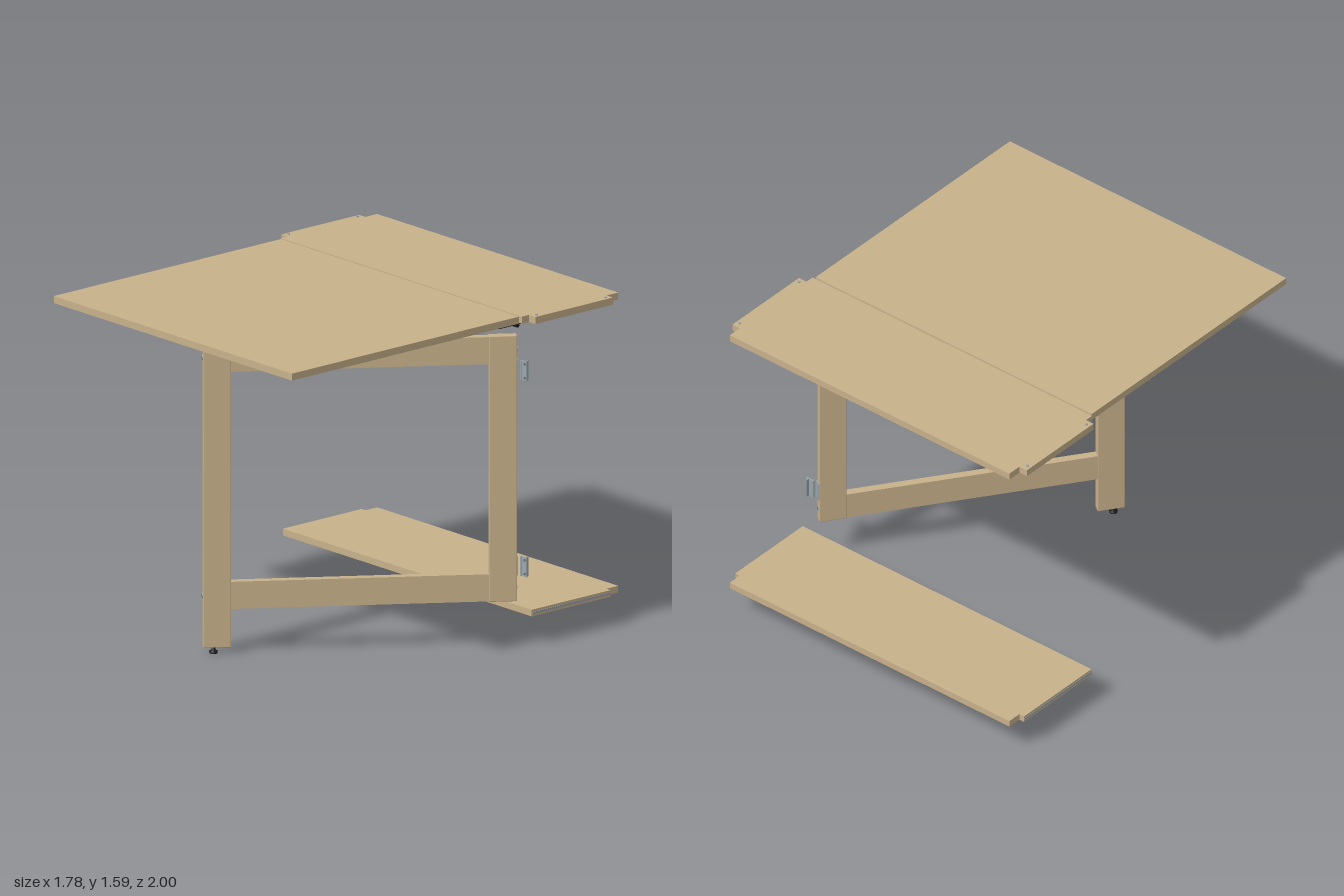
import * as THREE from 'three';
import { RoundedBoxGeometry } from 'three/addons/geometries/RoundedBoxGeometry.js';

const material = (name, color) => {
  const m = new THREE.MeshStandardMaterial({ color });
  m.name = name;
  return m;
};

export function createModel() {
  const wood = material('wood', 0xc8b18b);
  const black = material('black metal', 0x1c1c1c);
  const steel = material('steel', 0x9aa6ad);
  const dark = material('dark steel', 0x5f676c);

  const model = new THREE.Group();
  model.name = 'gateLegTable';

  const add = (parent, name, geometry, mat, x = 0, y = 0, z = 0) => {
    const mesh = new THREE.Mesh(geometry, mat);
    mesh.name = name;
    mesh.position.set(x, y, z);
    parent.add(mesh);
    return mesh;
  };
  // Box given by its limits on each axis
  const box = (parent, name, mat, [x0, x1], [y0, y1], [z0, z1], r = 0) => {
    const size = [x1 - x0, y1 - y0, z1 - z0];
    const geometry = r ? new RoundedBoxGeometry(...size, 2, r) : new THREE.BoxGeometry(...size);
    return add(parent, name, geometry, mat, (x0 + x1) / 2, (y0 + y1) / 2, (z0 + z1) / 2);
  };
  // Flat board from the right half of its outline, given as [x, z] from front to back
  const board = (name, half, y0, y1) => {
    const mirrored = half.map(([x, z]) => [-x, z]).reverse();
    const shape = new THREE.Shape([...half, ...mirrored].map(([x, z]) => new THREE.Vector2(x, -z)));
    const geometry = new THREE.ExtrudeGeometry(shape, { depth: y1 - y0, bevelEnabled: false });
    geometry.rotateX(-Math.PI / 2);
    return add(model, name, geometry, wood, 0, y0, 0);
  };

  // Table top: drop leaf in front, fixed part with side tongues behind
  box(model, 'dropLeaf', wood, [-0.835, 0.835], [1.552, 1.586], [-0.397, 1]);
  board('fixedTop', [
    [0.845, -0.407], [0.845, -0.45], [0.89, -0.45],
    [0.89, -0.928], [0.845, -0.928], [0.845, -1],
  ], 1.552, 1.586);

  // Lower shelf, with notched rear corners and a metal strip along each end
  board('shelf', [[0.873, -0.443], [0.873, -0.928], [0.845, -0.928], [0.845, -1]], 0.138, 0.17);

  for (const s of [-1, 1]) {
    const side = s < 0 ? 'right' : 'left';
    box(model, side + 'ShelfStrip', steel,
      [s * 0.873 - 0.002, s * 0.873 + 0.002], [0.148, 0.159], [-0.925, -0.446]);

    // Fasteners on the tongues
    for (const z of [-0.9, -0.475]) {
      add(model, side + 'TopScrew', new THREE.CylinderGeometry(0.007, 0.007, 0.008, 12), steel, s * 0.87, 1.587, z);
    }

    // Leaf hinge: two plates, a row of knuckles and screw heads
    const hinge = new THREE.Group();
    hinge.name = side + 'LeafHinge';
    hinge.position.set(s * 0.77, 0, -0.4);
    model.add(hinge);
    box(hinge, 'frontPlate', black, [-0.055, 0.055], [1.545, 1.552], [0.006, 0.115]);
    box(hinge, 'backPlate', black, [-0.055, 0.055], [1.545, 1.552], [-0.115, -0.006]);
    for (let i = 0; i < 5; i++) {
      const knuckle = add(hinge, 'knuckle', new THREE.CylinderGeometry(0.01, 0.01, 0.02, 12),
        black, -0.044 + i * 0.022, 1.54, 0);
      knuckle.rotation.z = Math.PI / 2;
    }
    for (const x of [-0.035, 0.035]) for (const z of [-0.085, -0.04, 0.04, 0.085]) {
      add(hinge, 'screwHead', new THREE.CylinderGeometry(0.008, 0.006, 0.005, 10), dark, x, 1.5435, z);
    }
  }

  // Stop block under the leaf
  box(model, 'stopBlock', wood, [-0.04, 0.04], [1.495, 1.552], [0.645, 0.774]);

  // Swinging gate: built along its own x axis, then turned under the leaf
  const gate = new THREE.Group();
  gate.name = 'gateLeg';
  gate.position.set(-0.015, 0, 0.8);
  gate.rotation.y = 0.953;
  model.add(gate);
  const length = 1.46, width = 0.13, thick = 0.043;
  box(gate, 'leg', wood, [0, width], [0.03, 1.495], [-thick, 0], 0.004);
  box(gate, 'hingeStile', wood, [length - width, length], [0.212, 1.495], [-thick, 0], 0.004);
  for (const [name, y] of [['lowerRail', 0.215], ['upperRail', 1.36]]) {
    box(gate, name, wood, [width - 0.01, length - width + 0.01], [y, y + 0.131], [-thick + 0.002, -0.002]);
  }

  // Bolt heads on both narrow ends
  for (const x of [-0.001, length + 0.001]) for (const y of [0.28, 1.428]) {
    const bolt = add(gate, 'bolt', new THREE.CylinderGeometry(0.013, 0.013, 0.005, 16), steel, x, y, -thick / 2);
    bolt.rotation.z = Math.PI / 2;
    const socket = add(gate, 'boltSocket', new THREE.CylinderGeometry(0.006, 0.006, 0.007, 6), dark, x, y, -thick / 2);
    socket.rotation.z = Math.PI / 2;
  }

  // Levelling foot
  const foot = [[0, 0], [0.019, 0], [0.02, 0.01], [0.009, 0.014], [0.009, 0.032], [0, 0.032]];
  add(gate, 'foot', new THREE.LatheGeometry(foot.map(p => new THREE.Vector2(...p)), 20), black, 0.05, 0, -thick / 2);

  // Gate hinges at the stile: leaf on the wood, pin and free leaf
  for (const y of [0.382, 1.328]) {
    const hinge = new THREE.Group();
    hinge.name = 'gateHinge';
    hinge.position.y = y;
    model.add(hinge);
    const leaf = box(gate, 'hingeLeaf', steel, [length, length + 0.005], [y - 0.046, y + 0.046], [-0.04, -0.003]);
    leaf.name = 'stileHingeLeaf';
    box(hinge, 'freeLeaf', steel, [0.835, 0.88], [-0.047, 0.047], [-0.411, -0.406]);
    box(hinge, 'sidePlate', steel, [0.862, 0.867], [-0.047, 0.047], [-0.428, -0.408]);
    add(hinge, 'pin', new THREE.CylinderGeometry(0.007, 0.007, 0.094, 12), steel, 0.84, 0, -0.408);
    for (const dy of [-0.033, 0.033]) {
      const screw = add(hinge, 'hingeScrew', new THREE.CylinderGeometry(0.006, 0.006, 0.004, 10), dark, 0.867, dy, -0.405);
      screw.rotation.x = Math.PI / 2;
    }
  }

  return model;
}
